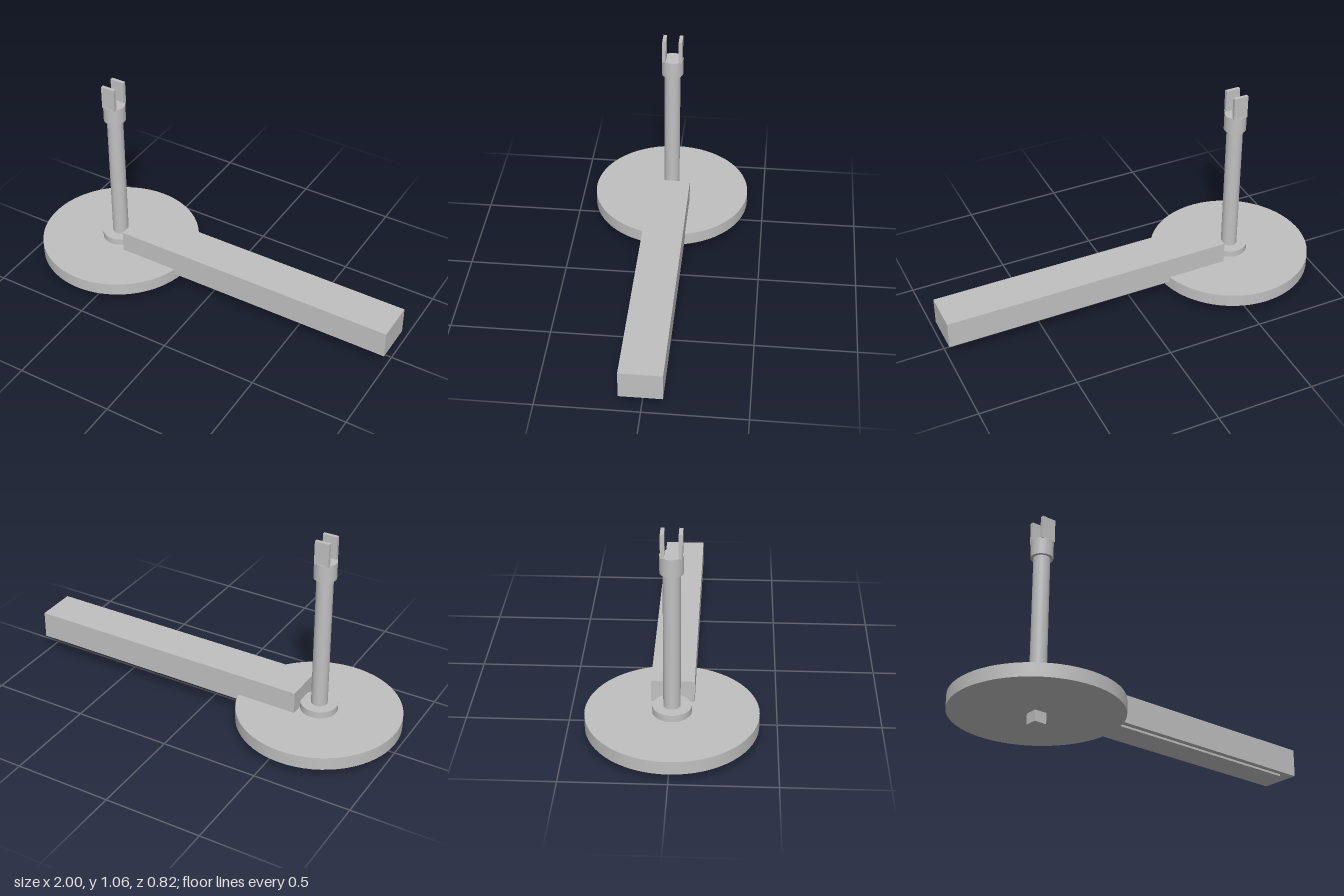
import * as THREE from 'three';

export function createModel() {
  const model = new THREE.Group();
  const grey = new THREE.MeshStandardMaterial({ color: 0xc0c0c0 });
  grey.name = 'plain grey';
  const axisX = -0.5875; // shared vertical axis of the disc and post

  function add(name, geometry, x, y, z) {
    const mesh = new THREE.Mesh(geometry, grey);
    mesh.name = name;
    mesh.position.set(x, y, z);
    model.add(mesh);
  }
  // Upright cylinder on the shared axis, from y0 to y1
  const round = (name, r, y0, y1) =>
    add(name, new THREE.CylinderGeometry(r, r, y1 - y0, 64), axisX, (y0 + y1) / 2, 0);
  // Box given by its limits on each axis
  const box = (name, x0, x1, y0, y1, z0, z1) =>
    add(name, new THREE.BoxGeometry(x1 - x0, y1 - y0, z1 - z0),
      (x0 + x1) / 2, (y0 + y1) / 2, (z0 + z1) / 2);

  // Turntable and its square drive peg
  round('disc', 0.4125, 0.055, 0.122);
  box('drivePeg', axisX - 0.032, axisX + 0.032, 0, 0.06, -0.032, 0.032);

  // Post with base collar and end cap
  round('baseCollar', 0.093, 0.12, 0.157);
  round('post', 0.041, 0.15, 0.87);
  round('endCap', 0.0555, 0.857, 0.945);

  // Fork prongs on the cap
  for (const side of [1, -1]) {
    const z = side * 0.0415;
    box(side > 0 ? 'frontProng' : 'backProng',
      axisX - 0.037, axisX + 0.037, 0.94, 1.06, z - 0.009, z + 0.009);
  }

  // Long arm let into the disc, with a thin plate underneath
  box('arm', -0.503, 1, 0.093, 0.235, -0.104, 0.104);
  box('armBasePlate', -0.42, 0.92, 0.082, 0.095, -0.075, 0.075);

  return model;
}
